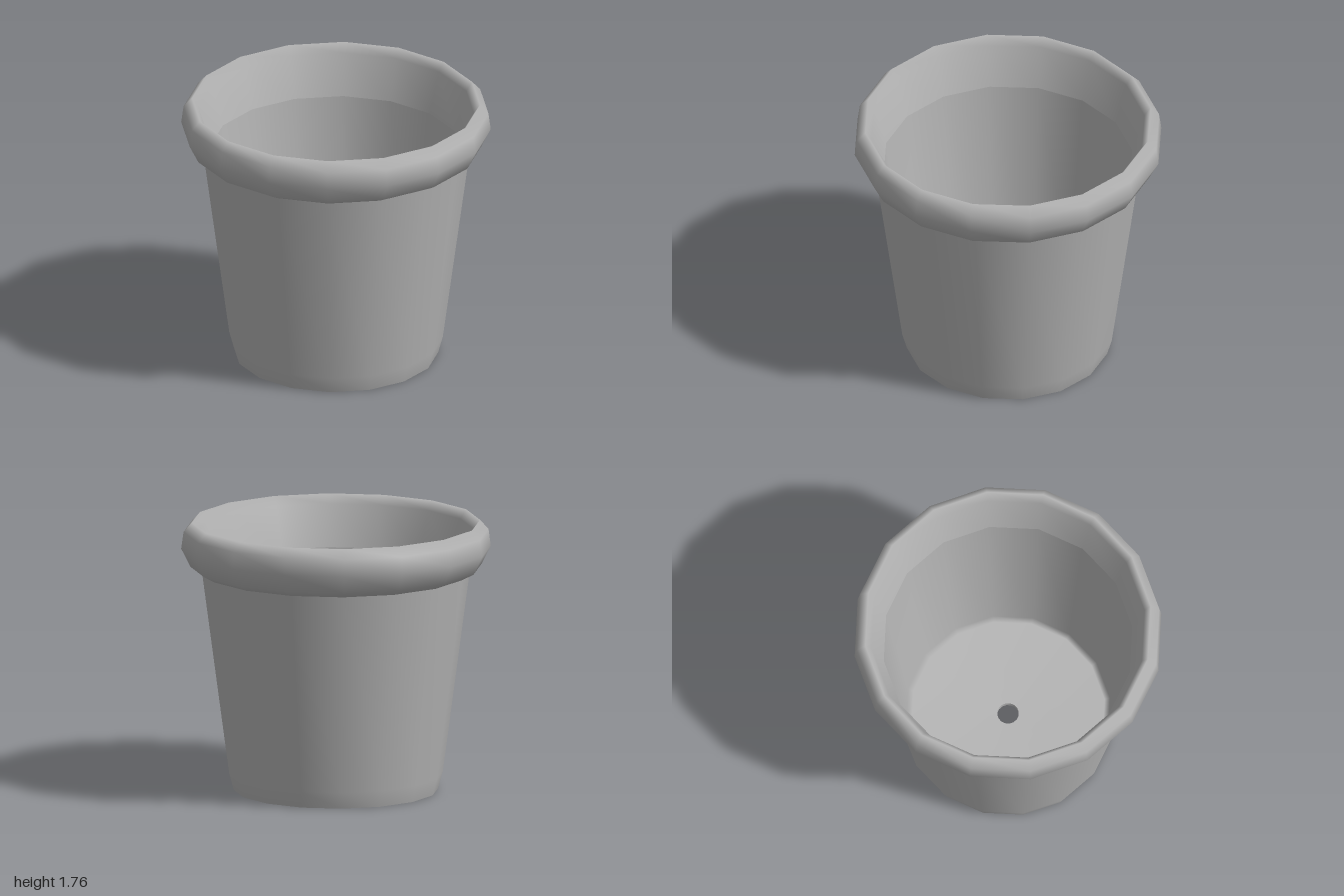
import * as THREE from 'three';

const SIDES = 16;

// Smooth turned surface; profile runs up the outside, down the inside
function turned(name, profile, material) {
  const points = profile.map(([r, y]) => new THREE.Vector2(r, y));
  const mesh = new THREE.Mesh(new THREE.LatheGeometry(points, SIDES), material);
  mesh.name = name;
  return mesh;
}

export function createModel() {
  const group = new THREE.Group();
  group.name = 'flowerPot';

  const clay = new THREE.MeshStandardMaterial({ color: 0xb4b4b4 });
  clay.name = 'grey clay';

  group.add(
    // Tapered wall with a narrow bevel at the foot
    turned('outerWall', [[0.66, 0], [0.69, 0.11], [0.865, 1.43]], clay),

    // Rounded rim, rolling over into the mouth
    turned('rim', [
      [0.865, 1.43], [0.94, 1.47], [1.0, 1.59], [0.985, 1.7],
      [0.93, 1.76], [0.89, 1.7], [0.81, 1.43],
    ], clay),

    // Inside wall blending into the floor
    turned('innerWallAndFloor', [
      [0.81, 1.43], [0.665, 0.14], [0.63, 0.125], [0.07, 0.115],
    ], clay),

    // Drain hole through the floor
    turned('drainHole', [[0.07, 0.115], [0.07, 0.08]], clay),

    // Shallow hollow underside
    turned('underside', [[0.07, 0.08], [0.62, 0.03]], clay),

    // Standing ring at the foot
    turned('footInside', [[0.62, 0.03], [0.635, 0]], clay),
    turned('footRing', [[0.635, 0], [0.66, 0]], clay),
  );

  return group;
}
